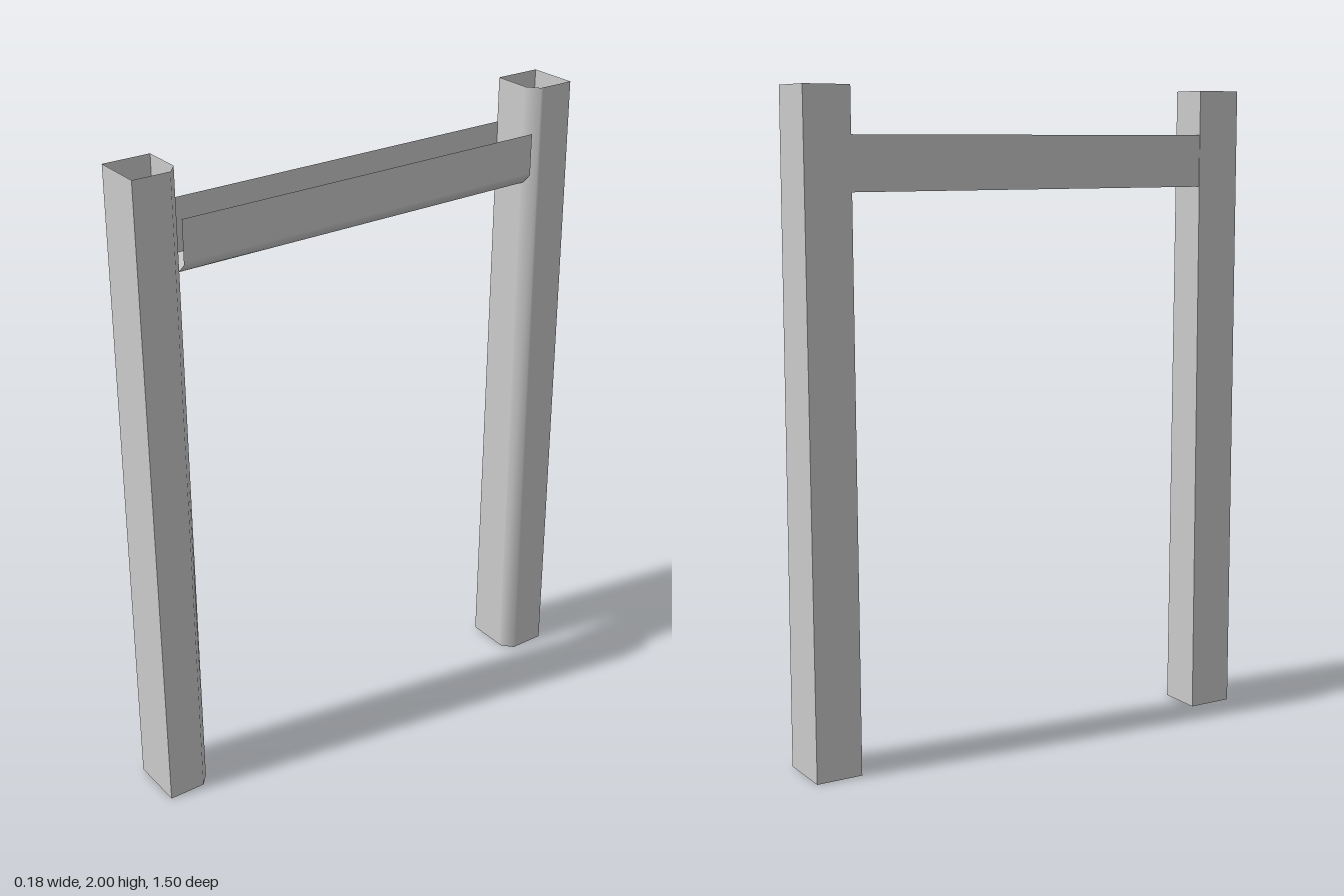
import * as THREE from 'three';
import { toCreasedNormals } from 'three/addons/utils/BufferGeometryUtils.js';

const material = new THREE.MeshStandardMaterial({ color: 0xcccccc, side: THREE.DoubleSide });

// Channel section with one bevelled corner: u runs across, v away from the base wall.
function section(left, right, depth, bevelU, bevelV) {
  const eps = 0.008; // keeps the bevel's soft shading local
  return [
    [left, depth], [left, 0],
    [right - bevelU - eps, 0], [right - bevelU, 0],
    [right, bevelV], [right, bevelV + eps],
    [right, depth],
  ];
}

// Thin skin between two matching rows of points.
function skin(rowA, rowB, flip = false) {
  const positions = [];
  for (let i = 0; i < rowA.length - 1; i++) {
    const quad = [rowA[i], rowB[i], rowB[i + 1], rowA[i + 1]];
    const order = flip ? [0, 2, 1, 0, 3, 2] : [0, 1, 2, 0, 2, 3];
    for (const k of order) positions.push(...quad[k]);
  }
  const geometry = new THREE.BufferGeometry();
  geometry.setAttribute('position', new THREE.Float32BufferAttribute(positions, 3));
  return toCreasedNormals(geometry, Math.PI / 3);
}

// Hollow post, open at both ends and slightly narrower at the top.
function makePost(name, side) {
  const row = (left, right, y) => {
    const ring = section(left, right, 0.145, 0.035, 0.03)
      .map(([u, v]) => [u, y, side * (0.605 + v)]);
    return [...ring, ring[0]];
  };
  const geometry = skin(row(-0.089, 0.086, 0), row(-0.08, 0.077, 2), side < 0);
  const post = new THREE.Mesh(geometry, material);
  post.name = name;
  return post;
}

// Crossbar: an upward-open trough between the posts.
function makeCrossbar() {
  const row = (z) => section(-0.079, 0.076, 0.16, 0.03, 0.03)
    .map(([u, v]) => [u, 1.703 + v, z]);
  const bar = new THREE.Mesh(skin(row(0.608), row(-0.608)), material);
  bar.name = 'crossbar';
  return bar;
}

export function createModel() {
  const group = new THREE.Group();
  group.name = 'postFrame';
  group.add(makePost('frontPost', 1), makePost('backPost', -1), makeCrossbar());
  return group;
}
